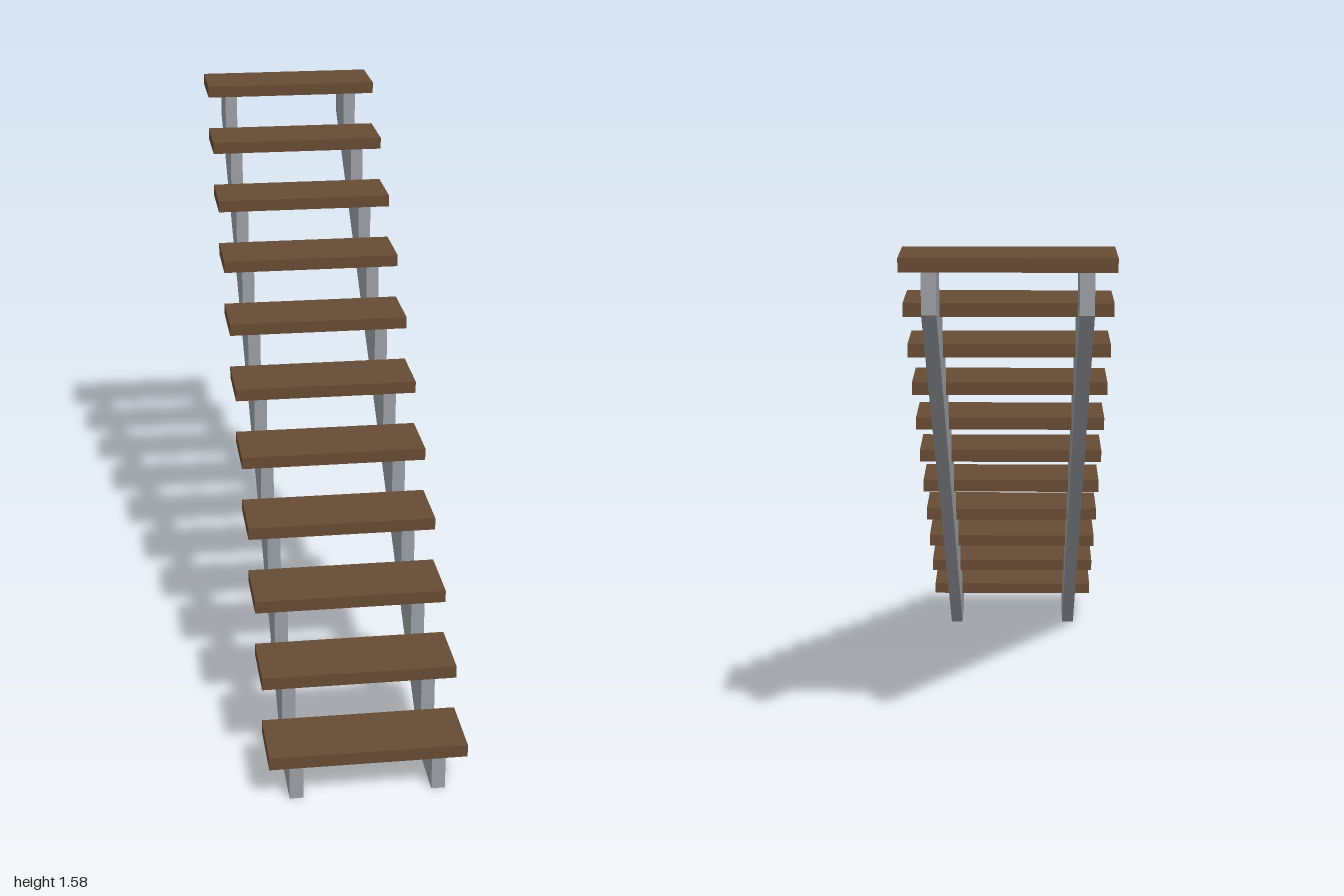
import * as THREE from 'three';

const STEPS = 11, RISE = 0.1434, GOING = 0.18;
const TREAD = { width: 0.546, thick: 0.036, depth: 0.2 };
const STRINGER = { thick: 0.038, x: 0.197 };

// Sawtooth side outline, drawn in (z, y)
function stringerGeometry() {
  const shape = new THREE.Shape();
  shape.moveTo(0.8, 0);
  shape.lineTo(0.98, 0);
  for (let i = 0; i < STEPS; i++) {
    const y = RISE * (i + 1) - TREAD.thick;
    shape.lineTo(0.98 - GOING * i, y);
    shape.lineTo(i < STEPS - 1 ? 0.8 - GOING * i : -1, y);
  }
  shape.lineTo(-1, RISE * (STEPS - 1));
  shape.closePath();
  const geometry = new THREE.ExtrudeGeometry(shape, { depth: STRINGER.thick, bevelEnabled: false });
  geometry.translate(0, 0, -STRINGER.thick / 2);
  return geometry.rotateY(-Math.PI / 2);
}

export function createModel() {
  const wood = new THREE.MeshStandardMaterial({ color: 0x664b34 });
  wood.name = 'brown wood';
  const metal = new THREE.MeshStandardMaterial({ color: 0x9a9ea2 });
  metal.name = 'grey metal';

  const stairs = new THREE.Group();
  stairs.name = 'openStaircase';

  // Pair of stringers
  const sideGeometry = stringerGeometry();
  for (const [name, side] of [['leftStringer', 1], ['rightStringer', -1]]) {
    const stringer = new THREE.Mesh(sideGeometry, metal);
    stringer.name = name;
    stringer.position.x = side * STRINGER.x;
    stairs.add(stringer);
  }

  // Treads, each overhanging the one below
  const treadGeometry = new THREE.BoxGeometry(TREAD.width, TREAD.thick, TREAD.depth);
  for (let i = 0; i < STEPS; i++) {
    const tread = new THREE.Mesh(treadGeometry, wood);
    tread.name = `tread${i + 1}`;
    tread.position.set(0, RISE * (i + 1) - TREAD.thick / 2, 0.9 - GOING * i);
    stairs.add(tread);
  }
  return stairs;
}
